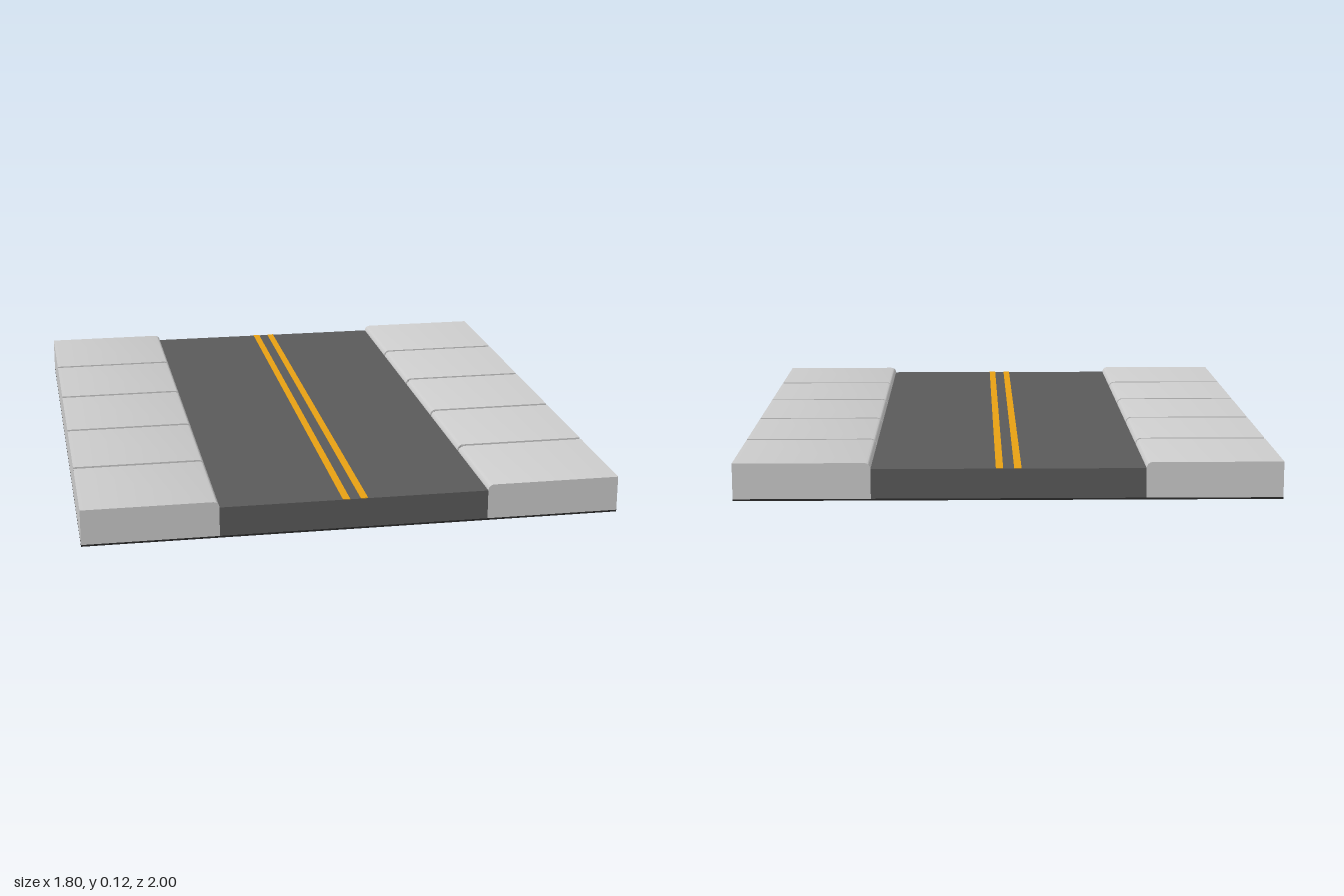
import * as THREE from 'three';
import { toCreasedNormals } from 'three/addons/utils/BufferGeometryUtils.js';

const LENGTH = 2, OUTER = 0.9, KERB = 0.45, BASE = 0.006;
const ROAD_TOP = 0.105, WALK_TOP = 0.125, RADIUS = 0.02;
const JOINT = 0.016, DEPTH = 0.006;

// Top outline of a pavement: flat from the outer edge, rounded over at the kerb
function topOutline(side, drop) {
  const points = [new THREE.Vector2(side * OUTER, WALK_TOP - drop)];
  for (let i = 0; i <= 6; i++) {
    const a = (i / 6) * Math.PI / 2;
    points.push(new THREE.Vector2(
      side * (KERB + RADIUS - (RADIUS - drop) * Math.sin(a)),
      WALK_TOP - RADIUS + (RADIUS - drop) * Math.cos(a)));
  }
  return points;
}

// Closed pavement cross-section reaching down to the base
function pavementSection(side, drop) {
  const top = topOutline(side, drop);
  return [...top,
    new THREE.Vector2(top[top.length - 1].x, BASE),
    new THREE.Vector2(side * OUTER, BASE)];
}

function extrudeAlongZ(points, z0, z1) {
  const geometry = new THREE.ExtrudeGeometry(new THREE.Shape(points),
    { depth: z1 - z0, bevelEnabled: false });
  geometry.translate(0, 0, z0);
  return toCreasedNormals(geometry, 0.5);
}

export function createModel() {
  const model = new THREE.Group();
  model.name = 'roadSection';
  const concrete = new THREE.MeshStandardMaterial({ color: 0xcccccc });
  const asphalt = new THREE.MeshStandardMaterial({ color: 0x5a5a5a });
  const paint = new THREE.MeshStandardMaterial({ color: 0xe7a013 });
  const dark = new THREE.MeshStandardMaterial({ color: 0x2a2a2a });

  const add = (parent, name, geometry, material) => {
    const mesh = new THREE.Mesh(geometry, material);
    mesh.name = name;
    parent.add(mesh);
    return mesh;
  };
  const box = (name, w, y0, y1, x, material) =>
    add(model, name, new THREE.BoxGeometry(w, y1 - y0, LENGTH), material)
      .position.set(x, (y0 + y1) / 2, 0);

  // Base plate and carriageway
  box('basePlate', 2 * OUTER, 0, BASE, 0, dark);
  box('roadSurface', 2 * KERB, BASE, ROAD_TOP, 0, asphalt);

  for (const side of [-1, 1]) {
    const sideName = side > 0 ? 'left' : 'right';

    // Double centre line
    box(sideName + 'CentreLine', 0.024, ROAD_TOP, ROAD_TOP + 0.002, side * 0.03, paint);

    // Pavement of five slabs with dark recessed joints between them
    const pavement = new THREE.Group();
    pavement.name = sideName + 'Pavement';
    model.add(pavement);
    const slab = pavementSection(side, 0);
    const filler = pavementSection(side, DEPTH + 0.002);
    const seam = [...topOutline(side, DEPTH), ...topOutline(side, DEPTH + 0.002).reverse()];
    for (let i = 0; i < 5; i++) {
      const z0 = -1 + i * 0.4, z1 = z0 + 0.4;
      const start = i > 0 ? z0 + JOINT / 2 : z0;
      const end = i < 4 ? z1 - JOINT / 2 : z1;
      add(pavement, 'slab', extrudeAlongZ(slab, start, end), concrete);
      if (i < 4) {
        add(pavement, 'jointBody', extrudeAlongZ(filler, end, end + JOINT), concrete);
        add(pavement, 'jointSeam', extrudeAlongZ(seam, end, end + JOINT), dark);
      }
    }
  }
  return model;
}
